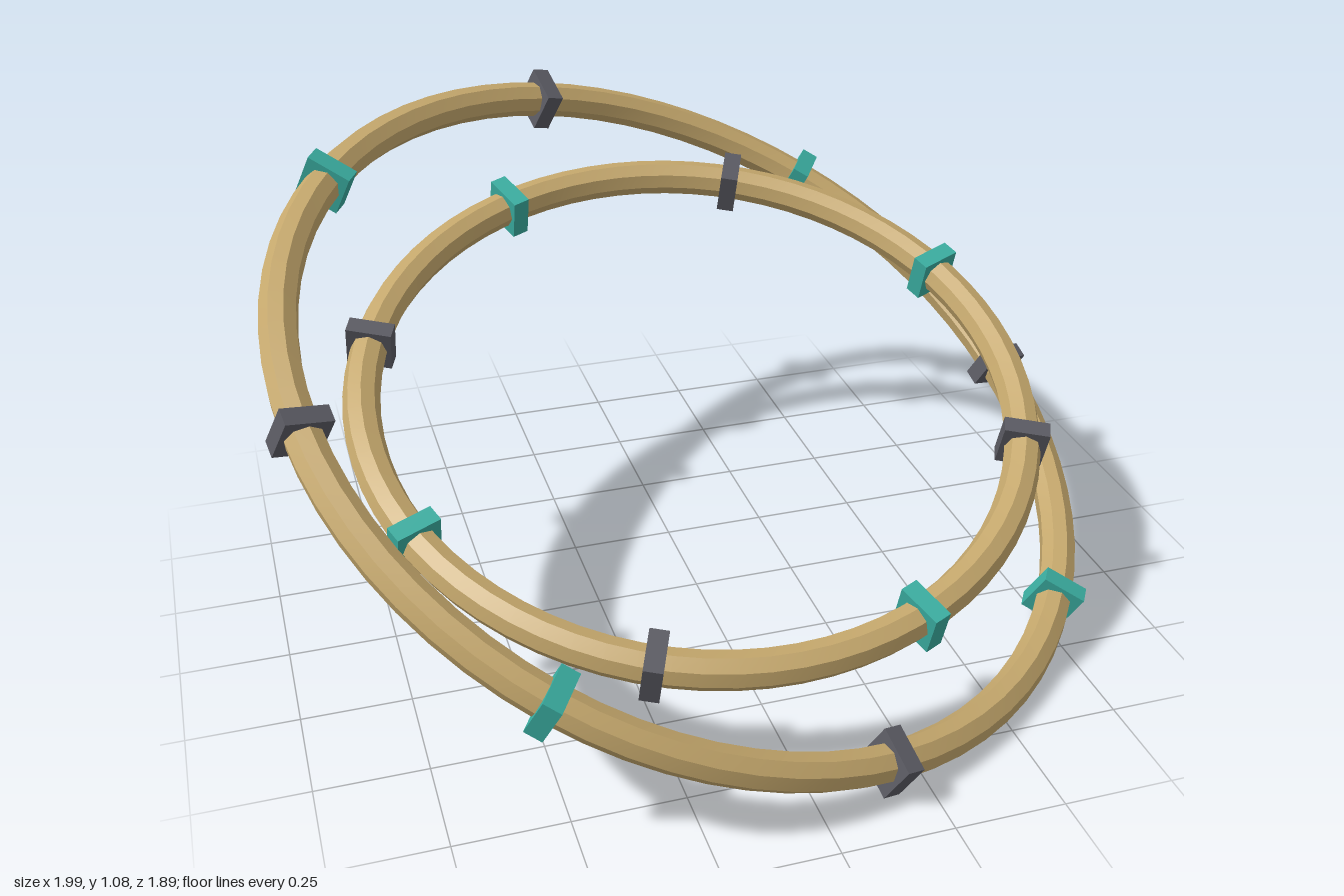
import * as THREE from 'three';
import { toCreasedNormals } from 'three/addons/utils/BufferGeometryUtils.js';

const rad = THREE.MathUtils.degToRad;

function material(name, color) {
  const m = new THREE.MeshStandardMaterial({ color });
  m.name = name;
  return m;
}

export function createModel() {
  const brass = material('brass', 0xc4a76c);
  const teal = material('teal', 0x3aada0);
  const iron = material('iron grey', 0x5a5a62);

  const tubeRadius = 0.043;
  const bandGeometry = new THREE.BoxGeometry(0.107, 0.107, 0.043);

  // A tilted eight-sided hoop with eight clamps, alternately grey and teal
  function makeRing(name, radius, firstAngle, tiltX, tiltZ) {
    const ring = new THREE.Group();
    ring.name = name;

    const torus = new THREE.TorusGeometry(radius, tubeRadius, 8, 72);
    torus.rotateX(Math.PI / 2);
    const hoop = new THREE.Mesh(toCreasedNormals(torus, rad(30)), brass);
    hoop.name = name + 'Hoop';
    ring.add(hoop);

    for (let i = 0; i < 8; i++) {
      const a = rad(firstAngle + i * 45);
      const band = new THREE.Mesh(bandGeometry, i % 2 ? teal : iron);
      band.name = name + (i % 2 ? 'TealBand' : 'GreyBand');
      band.position.set(radius * Math.cos(a), 0, radius * Math.sin(a));
      band.rotation.y = -a;
      ring.add(band);
    }

    ring.position.y = 0.545;
    ring.rotation.set(rad(tiltX), 0, rad(tiltZ));
    return ring;
  }

  const model = new THREE.Group();
  model.name = 'nestedRings';
  model.add(makeRing('outerRing', 0.988, -10, 25, -18));
  model.add(makeRing('innerRing', 0.775, 22.5, 20, 0));
  return model;
}
